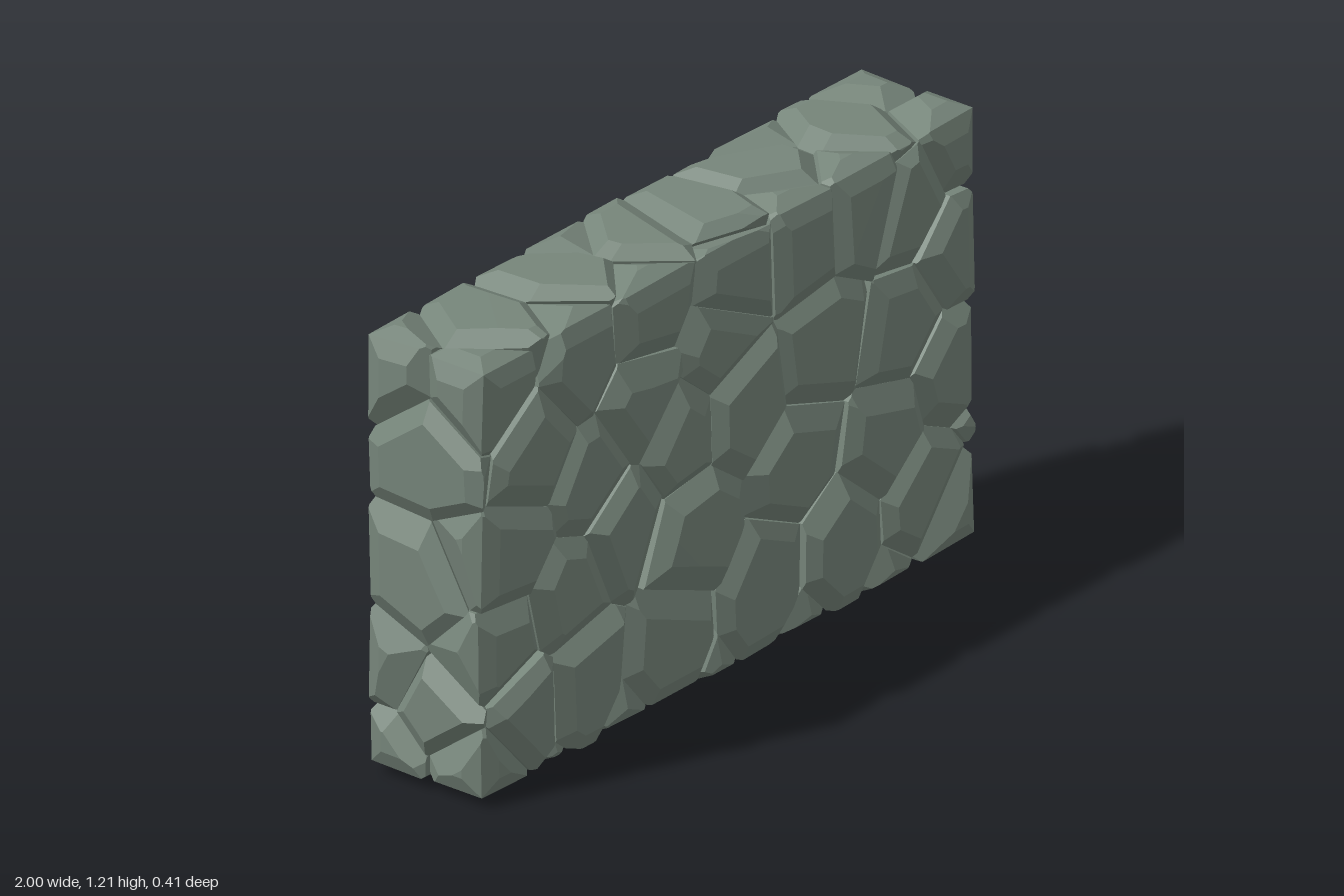
import * as THREE from 'three';
import { ConvexGeometry } from 'three/addons/geometries/ConvexGeometry.js';

// Stone centres for each side of the wall
const FRONT = [
  [-0.92, 1.11], [-0.56, 1.07], [-0.3, 1.1], [0.05, 1.06], [0.32, 1.07], [0.52, 1.08], [0.74, 1.0], [0.93, 1.11],
  [-0.76, 0.88], [-0.34, 0.87], [-0.02, 0.91], [-0.85, 0.64], [-0.53, 0.73], [-0.4, 0.55], [-0.17, 0.72],
  [0.07, 0.72], [0.37, 0.76], [0.7, 0.69], [0.91, 0.84], [-0.87, 0.39], [-0.62, 0.45], [-0.13, 0.43],
  [0.28, 0.47], [0.63, 0.41], [0.9, 0.5], [-0.57, 0.21], [-0.8, 0.2], [-0.23, 0.17], [0.16, 0.2],
  [0.46, 0.2], [0.78, 0.22], [-0.94, 0.07], [0.92, 0.09],
];
const BACK = [
  [0.93, 1.12], [0.76, 0.98], [0.48, 1.06], [0.46, 0.74], [0.83, 0.6], [0.13, 0.9], [0.12, 0.5], [-0.36, 0.76],
  [-0.22, 1.08], [-0.68, 0.92], [-0.3, 0.2], [-0.68, 0.22], [0.58, 0.13], [0.27, 0.19], [-0.93, 1.1],
  [-0.92, 0.3], [0.86, 0.27], [-0.22, 0.43], [-0.74, 0.56], [0.5, 0.4], [-0.93, 0.07], [0.93, 0.07],
];
const LEFT_END = [[0.86, 0.03], [0.38, 0], [0.62, -0.12], [0.12, 0.02]]; // y, z
const RIGHT_END = [[0.92, 0], [0.55, -0.03], [0.22, 0.02]];
const TOP = [[-0.75, 0], [-0.4, 0.01], [-0.12, -0.03], [0.08, 0.03], [0.4, 0], [0.7, 0.01]]; // x, z
const BOTTOM = [[-0.7, 0], [-0.38, 0.02], [-0.05, -0.02], [0.3, 0.01], [0.66, 0]];

let seed = 7;
const random = () => (seed = (seed * 16807) % 2147483647) / 2147483647;
const V = (x, y, z) => new THREE.Vector3(x, y, z);
const plane = (n, d) => { const l = n.length(); return { n: n.clone().divideScalar(l), d: d / l }; };

// Corner points of the solid lying behind every plane
function cornersOf(planes) {
  const found = new Map();
  const bc = V(), ca = V(), ab = V(), p = V();
  for (let i = 0; i < planes.length; i++) for (let j = i + 1; j < planes.length; j++) {
    const a = planes[i], b = planes[j];
    ab.crossVectors(a.n, b.n);
    if (ab.lengthSq() < 1e-6) continue;
    for (let k = j + 1; k < planes.length; k++) {
      const c = planes[k];
      const det = ab.dot(c.n);
      if (Math.abs(det) < 1e-4) continue;
      bc.crossVectors(b.n, c.n);
      ca.crossVectors(c.n, a.n);
      p.set(0, 0, 0).addScaledVector(bc, a.d).addScaledVector(ca, b.d).addScaledVector(ab, c.d).divideScalar(det);
      if (planes.every(q => q.n.dot(p) < q.d + 1e-5)) {
        found.set(p.toArray().map(v => Math.round(v * 500)).join(), p.clone());
      }
    }
  }
  return [...found.values()];
}

// One chipped stone: the space nearest its centre, trimmed by the wall and bevelled
function stoneGeometry(centre, centres) {
  const walls = [
    [V(1, 0, 0), 1], [V(-1, 0, 0), 1], [V(0, 1, 0), 1.21],
    [V(0, -1, 0), 0], [V(0, 0, 1), 0.205], [V(0, 0, -1), 0.205],
  ].map(([n, d]) => {
    // Tilt each outer face slightly about the stone's own centre
    const tilt = V(random() - 0.5, random() - 0.5, random() - 0.5).multiplyScalar(0.07);
    tilt.addScaledVector(n, -tilt.dot(n));
    const normal = n.clone().add(tilt);
    return plane(normal, d - random() * 0.014 + tilt.dot(centre));
  });
  const limits = [
    plane(V(1, 0, 0), 1), plane(V(-1, 0, 0), 1), plane(V(0, 1, 0), 1.21),
    plane(V(0, -1, 0), 0), plane(V(0, 0, 1), 0.205), plane(V(0, 0, -1), 0.205),
  ];
  const joints = centres.filter(c => c !== centre)
    .sort((a, b) => a.distanceToSquared(centre) - b.distanceToSquared(centre)).slice(0, 16)
    .map(c => {
      const n = c.clone().sub(centre).normalize();
      return plane(n, n.dot(c.clone().add(centre).multiplyScalar(0.5)));
    });
  const planes = [...limits, ...walls, ...joints];
  const outer = walls.filter(w => w.d - w.n.dot(centre) < 0.24);
  outer.forEach((w, i) => {
    // Bevel towards neighbouring stones
    joints.forEach(j => {
      if (Math.abs(j.n.dot(w.n)) > 0.75) return;
      const s = 0.5 + random() * 0.3;
      planes.push(plane(w.n.clone().addScaledVector(j.n, s), w.d + s * j.d - 0.024 - random() * 0.016));
    });
    // Bevel along the outer edges of the wall
    outer.slice(i + 1).forEach(o => {
      if (w.n.dot(o.n) < -0.5) return;
      for (const s of [0.45, 2.2]) {
        planes.push(plane(w.n.clone().addScaledVector(o.n, s), w.d + s * o.d - 0.03 * Math.max(1, s)));
      }
    });
  });
  const corners = cornersOf(planes);
  return corners.length > 3 ? new ConvexGeometry(corners) : null;
}

export function createModel() {
  const wall = new THREE.Group();
  wall.name = 'stoneWall';
  const stone = new THREE.MeshStandardMaterial({ color: 0x76857a });
  stone.name = 'greyGreenStone';

  // Solid filling behind the joints
  const core = new THREE.Mesh(new THREE.BoxGeometry(1.86, 1.08, 0.3), stone);
  core.name = 'core';
  core.position.y = 0.605;
  wall.add(core);

  const sides = {
    frontStone: FRONT.map(([x, y]) => V(x, y, 0.13)),
    backStone: BACK.map(([x, y]) => V(x, y, -0.13)),
    leftEndStone: LEFT_END.map(([y, z]) => V(0.97, y, z)),
    rightEndStone: RIGHT_END.map(([y, z]) => V(-0.97, y, z)),
    topStone: TOP.map(([x, z]) => V(x, 1.17, z)),
    bottomStone: BOTTOM.map(([x, z]) => V(x, 0.04, z)),
  };
  const centres = Object.values(sides).flat();
  for (const [name, list] of Object.entries(sides)) {
    const group = new THREE.Group();
    group.name = name + 's';
    for (const centre of list) {
      const geometry = stoneGeometry(centre, centres);
      if (!geometry) continue;
      const mesh = new THREE.Mesh(geometry, stone);
      mesh.name = name;
      group.add(mesh);
    }
    wall.add(group);
  }
  return wall;
}
